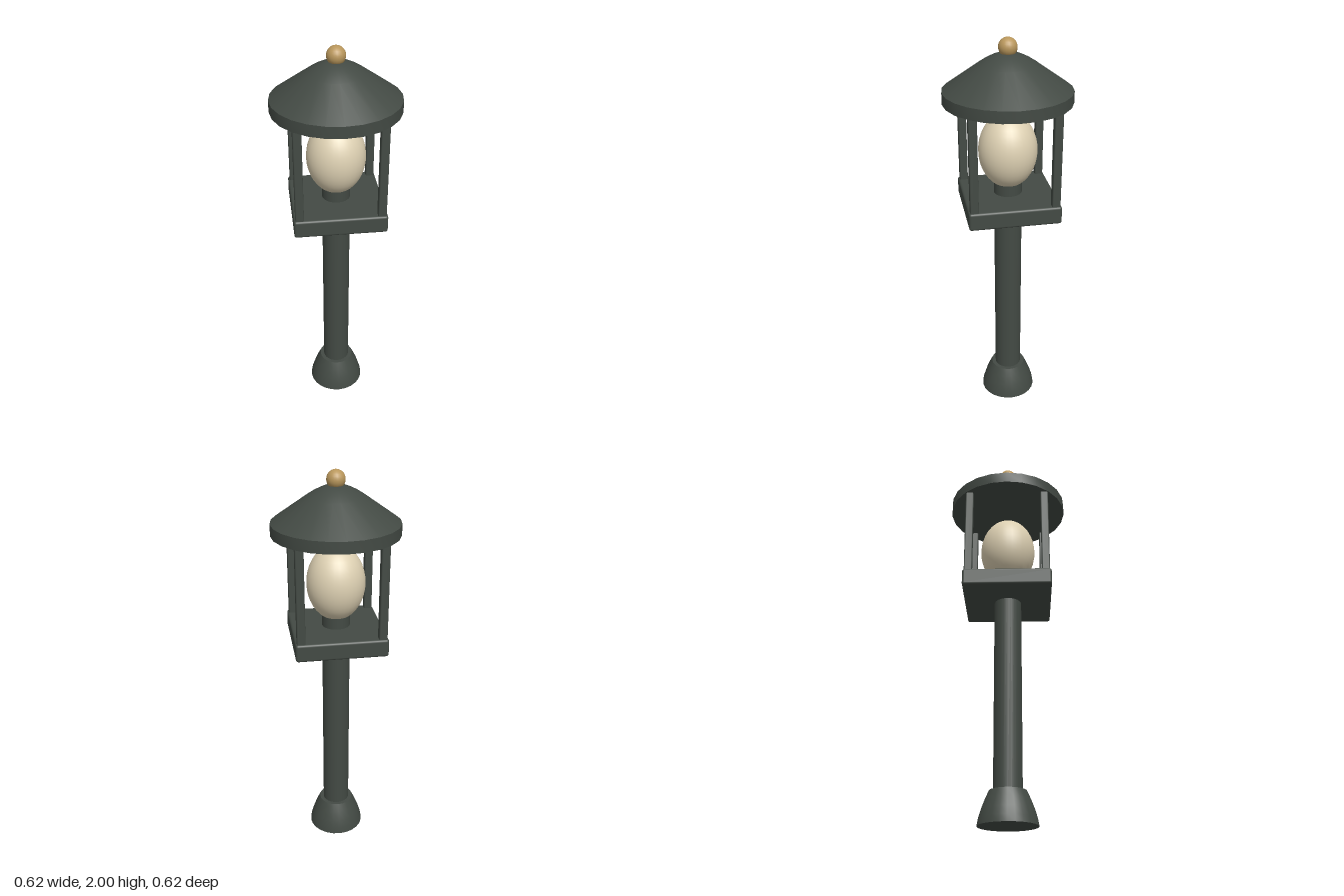
import * as THREE from 'three';
import { toCreasedNormals } from 'three/addons/utils/BufferGeometryUtils.js';
import { RoundedBoxGeometry } from 'three/addons/geometries/RoundedBoxGeometry.js';

export function createModel() {
  const group = new THREE.Group();
  const material = (name, color) => {
    const m = new THREE.MeshStandardMaterial({ color });
    m.name = name;
    return m;
  };
  const iron = material('dark green iron', 0x434a44);
  const glass = material('cream glass', 0xddd0b2);
  const brass = material('brass', 0xb9975c);

  const add = (name, geometry, mat, x = 0, y = 0, z = 0) => {
    const mesh = new THREE.Mesh(geometry, mat);
    mesh.name = name;
    mesh.position.set(x, y, z);
    group.add(mesh);
    return mesh;
  };
  // Turned part with crisp edges; profile runs bottom to top
  const turned = (points) => toCreasedNormals(
    new THREE.LatheGeometry(points.map(([r, y]) => new THREE.Vector2(r, y)), 24), 0.6);

  // Flared foot and round pole, which ends as the lamp socket
  add('foot', turned([[0, 0], [0.145, 0], [0.139, 0.035], [0.127, 0.075],
    [0.11, 0.12], [0.09, 0.163], [0, 0.163]]), iron);
  add('pole', new THREE.CylinderGeometry(0.07, 0.07, 1.29, 24), iron, 0, 0.65, 0);

  // Lantern tray with four corner posts
  add('tray', new RoundedBoxGeometry(0.452, 0.09, 0.452, 3, 0.012), iron, 0, 1.188, 0);
  for (const x of [-0.198, 0.198]) {
    for (const z of [-0.198, 0.198]) {
      add('post', new RoundedBoxGeometry(0.041, 0.5, 0.041, 2, 0.006), iron, x, 1.465, z);
    }
  }

  // Egg-shaped globe
  add('globe', new THREE.SphereGeometry(0.145, 32, 20), glass, 0, 1.455, 0).scale.y = 1.305;

  // Conical roof with a short rim, topped by a ball
  add('roof', turned([[0, 1.7], [0.311, 1.7], [0.311, 1.757], [0.14, 1.878],
    [0.105, 1.9], [0.075, 1.915], [0.045, 1.927], [0, 1.93]]), iron);
  add('finial', new THREE.SphereGeometry(0.045, 20, 14), brass, 0, 1.955, 0);

  return group;
}
